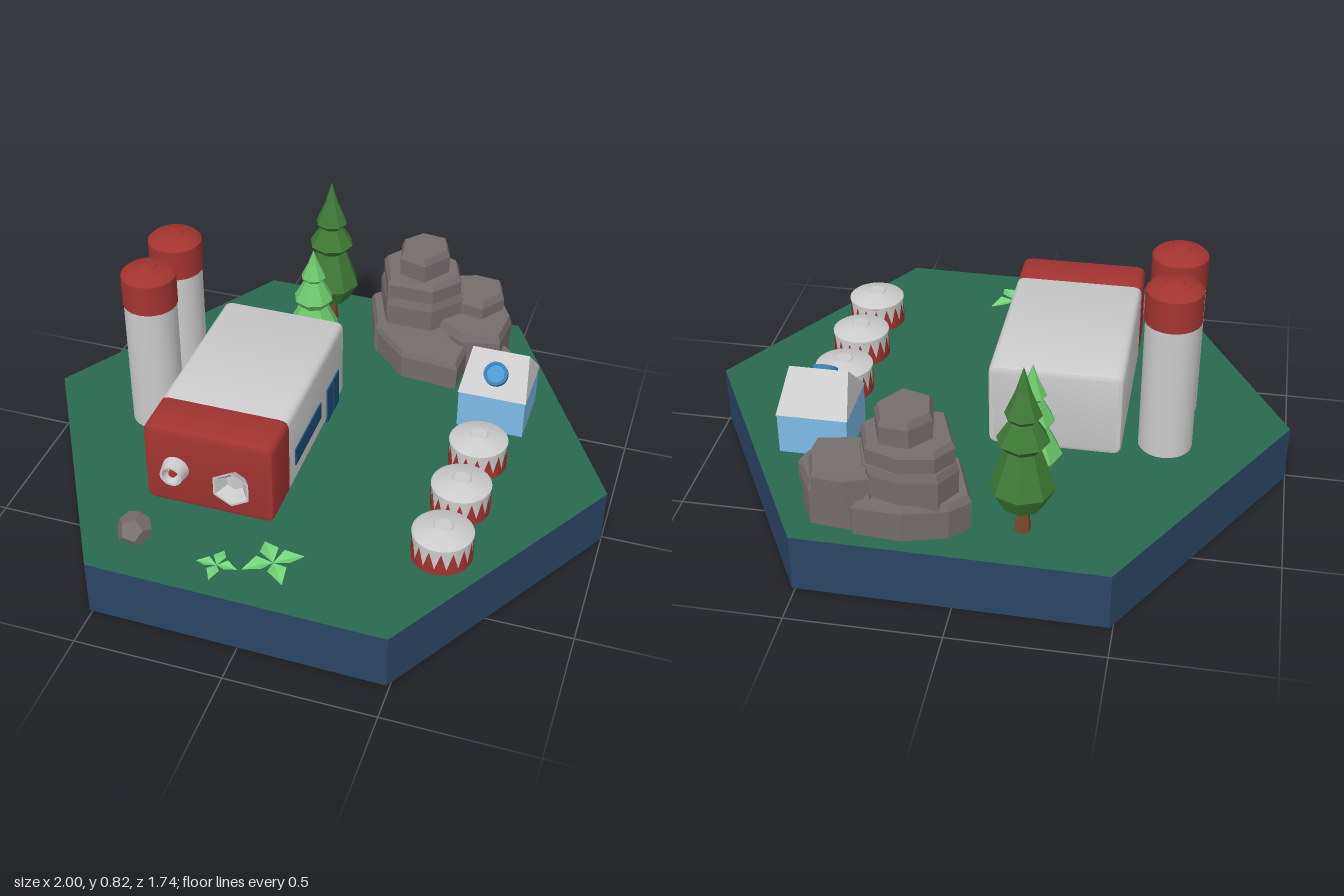
import * as THREE from 'three';
import { toCreasedNormals } from 'three/addons/utils/BufferGeometryUtils.js';
import { ConvexGeometry } from 'three/addons/geometries/ConvexGeometry.js';

const mat = (color, extra = {}) => new THREE.MeshStandardMaterial({ color, ...extra });
const flat = (color) => mat(color, { flatShading: true });
const GREY = mat(0xcccccc);
const GREY_OPEN = mat(0xcccccc, { side: THREE.DoubleSide });
const RED = mat(0xa33430);
const RED_OPEN = mat(0xa33430, { side: THREE.DoubleSide });
const NAVY = flat(0x2a4564), GROUND = mat(0x29694f), GLASS = mat(0x1d5078);
const WALL = mat(0x7cbce6), LENS = mat(0x4a9ad0), ROCK = flat(0x766d6d), BARK = flat(0x7a4a2c);
const PINE = flat(0x3f7a36), FIR = flat(0x6cc96c);
const LEAF = mat(0x74d67a, { flatShading: true, side: THREE.DoubleSide });
const G = 0.2; // ground level

export function createModel() {
  const root = new THREE.Group();

  const add = (name, geo, material, x = 0, y = 0, z = 0, parent = root) => {
    const m = new THREE.Mesh(geo, material);
    m.name = name;
    m.position.set(x, y, z);
    parent.add(m);
    return m;
  };
  const group = (name, x, y, z) => {
    const g = new THREE.Group();
    g.name = name;
    g.position.set(x, y, z);
    root.add(g);
    return g;
  };
  const lathe = (pts, segs = 24) => new THREE.LatheGeometry(pts.map((p) => new THREE.Vector2(...p)), segs);
  const crisp = (geo) => toCreasedNormals(geo, 0.5);

  // Hexagonal base and ground
  add('base', new THREE.CylinderGeometry(1, 1, G, 6).rotateY(Math.PI / 6 - 0.012), NAVY, 0, G / 2, 0);
  add('ground', new THREE.CircleGeometry(1, 6).rotateX(-Math.PI / 2).rotateY(-0.012), GROUND, 0, G + 0.001, 0);

  // Main hall: rounded section swept along z, with a red front end
  const section = (w, h, r) => {
    const s = new THREE.Shape();
    s.moveTo(-w / 2 + r, 0).lineTo(w / 2 - r, 0).quadraticCurveTo(w / 2, 0, w / 2, r);
    s.lineTo(w / 2, h - r).quadraticCurveTo(w / 2, h, w / 2 - r, h);
    s.lineTo(-w / 2 + r, h).quadraticCurveTo(-w / 2, h, -w / 2, h - r);
    s.lineTo(-w / 2, r).quadraticCurveTo(-w / 2, 0, -w / 2 + r, 0);
    return s;
  };
  const b = 0.015;
  const hallPart = (name, z0, z1, material) =>
    add(name, crisp(new THREE.ExtrudeGeometry(section(0.444, 0.303, 0.03), {
      depth: z1 - z0 - 2 * b, bevelThickness: b, bevelSize: b, bevelOffset: -b, bevelSegments: 2, curveSegments: 4,
    })), material, -0.228, G, z0 + b);
  hallPart('hall', -0.26, 0.35, GREY);
  hallPart('hallFront', 0.32, 0.495, RED);
  add('hallWindow', new THREE.BoxGeometry(0.008, 0.065, 0.27), GLASS, -0.005, 0.312, 0.145);
  for (const z of [-0.09, -0.158])
    add('hallDoor', new THREE.BoxGeometry(0.008, 0.14, 0.062), GLASS, -0.005, 0.275, z);

  // Front nozzles: a round port and a six-sided funnel
  const port = group('roundPort', -0.34, 0.35, 0.49);
  port.rotation.x = Math.PI / 2;
  add('portRim', crisp(lathe([[0.047, 0], [0.038, 0.05], [0.03, 0.05], [0.022, 0.02], [0, 0.02]])), GREY_OPEN, 0, 0, 0, port);
  add('portCore', new THREE.CylinderGeometry(0.013, 0.015, 0.02, 16), RED, 0, 0.028, 0, port);
  const funnel = group('hexFunnel', -0.133, 0.35, 0.49);
  funnel.rotation.x = Math.PI / 2;
  add('funnelCone', lathe([[0.035, 0], [0.07, 0.05], [0.062, 0.05], [0.03, 0.012], [0, 0.012]], 6),
    mat(0xcccccc, { flatShading: true, side: THREE.DoubleSide }), 0, 0, 0, funnel);

  // Tall silos
  for (const z of [-0.16, 0.07]) {
    const silo = group('silo', -0.588, 0, z);
    add('siloBody', new THREE.CylinderGeometry(0.09, 0.09, 0.49, 24, 1, true), GREY, 0, 0.445, 0, silo);
    add('siloCap', crisp(lathe([[0.088, 0.68], [0.093, 0.68], [0.093, 0.79], [0.08, 0.802], [0.03, 0.815], [0.026, 0.82], [0, 0.82]])),
      RED_OPEN, 0, 0, 0, silo);
  }

  // Low tanks with a toothed red band
  const toothBand = (r, teeth, low, high) => {
    const pos = [];
    const at = (i, y) => {
      const a = (i / teeth) * Math.PI * 2;
      return [Math.sin(a) * r, y, Math.cos(a) * r];
    };
    for (let i = 0; i < teeth; i++) {
      pos.push(...at(i, 0), ...at(i + 0.5, 0), ...at(i, low), ...at(i + 0.5, 0), ...at(i + 0.5, high), ...at(i, low));
      pos.push(...at(i + 0.5, 0), ...at(i + 1, 0), ...at(i + 1, low), ...at(i + 0.5, 0), ...at(i + 1, low), ...at(i + 0.5, high));
    }
    const g = new THREE.BufferGeometry();
    g.setAttribute('position', new THREE.Float32BufferAttribute(pos, 3));
    g.computeVertexNormals();
    return g;
  };
  for (const z of [-0.018, 0.222, 0.462]) {
    const tank = group('tank', 0.548, G, z);
    add('tankBody', crisp(lathe([[0.096, 0], [0.096, 0.09], [0.1, 0.093], [0.1, 0.1], [0.09, 0.106], [0.032, 0.12], [0.028, 0.125], [0, 0.125]], 32)),
      GREY, 0, 0, 0, tank);
    add('tankTeeth', toothBand(0.0995, 16, 0.022, 0.088), RED_OPEN, 0, 0, 0, tank);
  }

  // Cottage with hipped gable roof and round skylight
  add('cottageWalls', new THREE.BoxGeometry(0.234, 0.147, 0.232), WALL, 0.548, 0.2735, -0.312);
  const v = (x, y, z) => new THREE.Vector3(x, y, z);
  const roof = [-1, 1].flatMap((s) => [v(s * 0.12, 0, 0.118), v(s * 0.12, 0, -0.118), v(s * 0.1, 0.12, 0)]);
  add('cottageRoof', new ConvexGeometry(roof), GREY, 0.548, 0.345, -0.312);
  const skylight = group('skylight', 0.548, 0.41, -0.247);
  skylight.rotation.x = Math.PI / 4;
  add('skylightFrame', crisp(lathe([[0.042, -0.02], [0.042, 0.018], [0.032, 0.018], [0.03, 0.01]], 20)), mat(0x3a7fb0, { side: THREE.DoubleSide }), 0, 0, 0, skylight);
  add('skylightGlass', new THREE.CylinderGeometry(0.032, 0.032, 0.034, 20), LENS, 0, -0.003, 0, skylight);

  // Evergreens: tiered eight-sided crowns, [radius, height]
  const tree = (name, x, z, trunk, crown, material) => {
    const g = group(name, x, G, z);
    add('trunk', new THREE.CylinderGeometry(0.017, 0.028, trunk + 0.03, 6), BARK, 0, (trunk + 0.03) / 2, 0, g);
    add('crown', lathe([[0, trunk], ...crown], 8), material, 0, 0, 0, g);
  };
  tree('darkTree', -0.192, -0.693, 0.1,
    [[0.065, 0.1], [0.104, 0.17], [0.055, 0.31], [0.082, 0.34], [0.04, 0.41], [0.058, 0.43], [0.025, 0.51], [0, 0.595]], PINE);
  tree('lightTree', -0.183, -0.452, 0.06,
    [[0.06, 0.06], [0.098, 0.125], [0.05, 0.22], [0.072, 0.25], [0.032, 0.325], [0.045, 0.34], [0.02, 0.395], [0, 0.45]], FIR);

  // Rock pile: irregular chamfered slabs, outlines given as [x, z]
  const slab = (pts, y0, y1, shrink = 0.9) => {
    const cx = pts.reduce((s, p) => s + p[0], 0) / pts.length;
    const cz = pts.reduce((s, p) => s + p[1], 0) / pts.length;
    const ring = (k, y) => pts.map(([x, z]) => v(cx + (x - cx) * k, y, cz + (z - cz) * k));
    const chamfer = y1 - (y1 - y0) * 0.2;
    add('rockSlab', new ConvexGeometry([...ring(0.98, y0), ...ring(1, chamfer), ...ring(shrink, y1)]), ROCK);
  };
  slab([[-0.04, -0.72], [0.02, -0.78], [0.16, -0.82], [0.32, -0.81], [0.38, -0.68], [0.36, -0.54], [0.19, -0.52], [0.03, -0.53]], G, 0.33, 0.94);
  slab([[0.02, -0.55], [0.165, -0.41], [0.38, -0.39], [0.385, -0.55], [0.2, -0.62]], G, 0.31, 0.93);
  slab([[0.26, -0.8], [0.46, -0.78], [0.51, -0.69], [0.5, -0.54], [0.36, -0.51], [0.25, -0.58]], G, 0.36, 0.92);
  slab([[0.44, -0.6], [0.5, -0.62], [0.56, -0.56], [0.54, -0.5], [0.48, -0.52]], G, 0.28, 0.85);
  slab([[0.26, -0.79], [0.34, -0.82], [0.44, -0.81], [0.47, -0.72], [0.41, -0.63], [0.3, -0.65]], 0.3, 0.43, 0.88);
  slab([[0, -0.71], [0.05, -0.79], [0.17, -0.81], [0.29, -0.77], [0.33, -0.65], [0.24, -0.54], [0.07, -0.54]], 0.3, 0.44, 0.95);
  slab([[0.01, -0.71], [0.06, -0.78], [0.17, -0.8], [0.28, -0.76], [0.32, -0.65], [0.24, -0.55], [0.07, -0.55]], 0.41, 0.515, 0.92);
  slab([[0.08, -0.7], [0.14, -0.77], [0.235, -0.76], [0.268, -0.67], [0.2, -0.57], [0.1, -0.6]], 0.48, 0.605, 0.88);

  // Lone boulder
  const boulder = add('boulder', new THREE.DodecahedronGeometry(0.062), ROCK, -0.415, 0.223, 0.68);
  boulder.rotation.set(0.3, 0.5, 0.2);
  boulder.scale.set(0.98, 0.85, 1.05);

  // Ground plants: four folded leaves each
  const leaf = new THREE.BufferGeometry();
  leaf.setAttribute('position', new THREE.Float32BufferAttribute([
    0, 0.06, 0, -0.3, 0.2, 0.45, 0, 0.1, 0.5, 0.3, 0.2, 0.45, 0, 0.05, 1], 3));
  leaf.setIndex([0, 1, 2, 1, 4, 2, 0, 2, 3, 2, 4, 3]);
  leaf.computeVertexNormals();
  for (const [x, z, r, turn] of [[-0.112, 0.735, 0.07, 0], [0.055, 0.672, 0.104, 0.6]]) {
    const plant = group('groundPlant', x, G, z);
    plant.scale.setScalar(r);
    for (let i = 0; i < 4; i++) add('leaf', leaf, LEAF, 0, 0, 0, plant).rotation.y = turn + (i * Math.PI) / 2;
  }

  return root;
}
